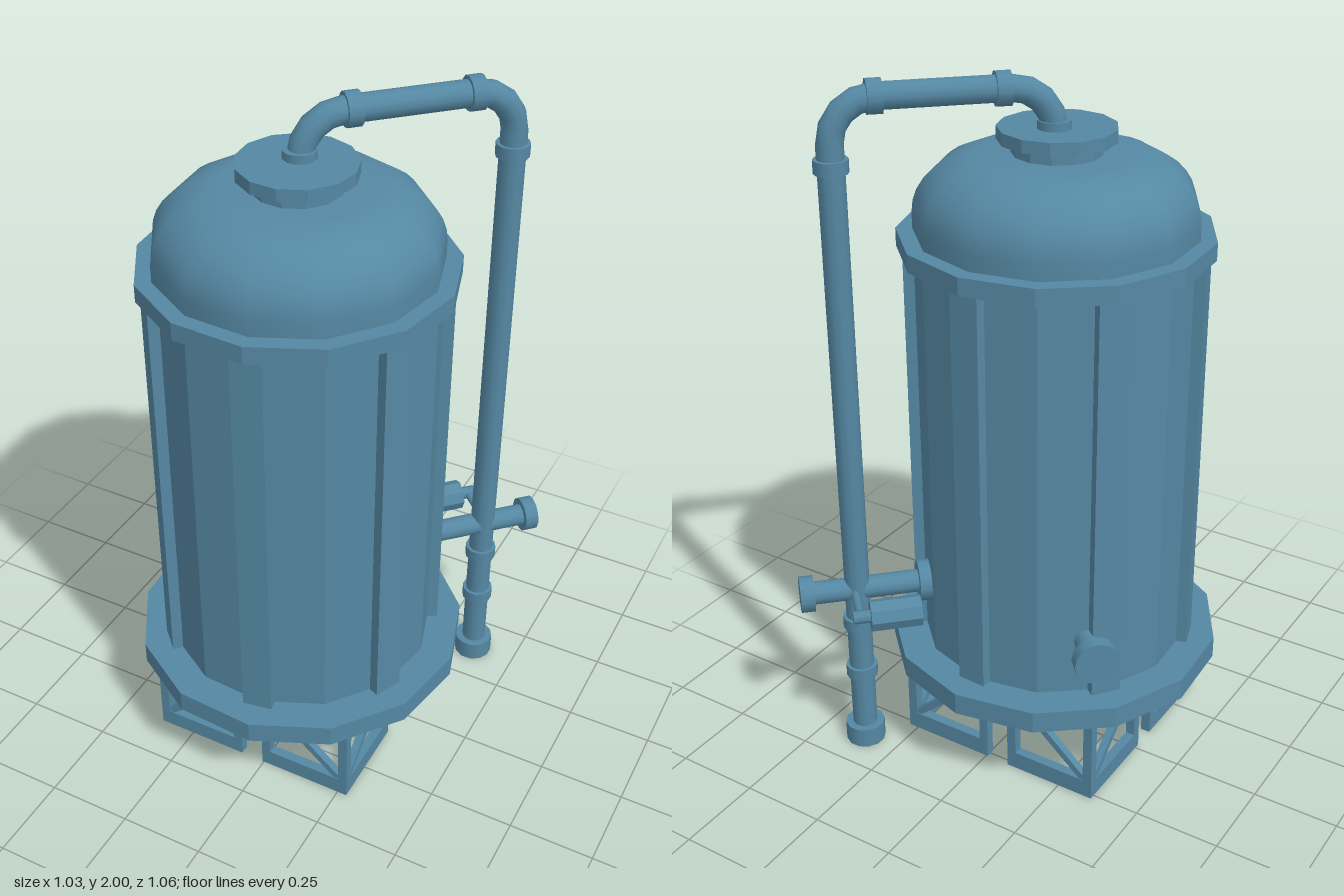
import * as THREE from 'three';

const SIDES = 13, START = -Math.PI / 4;
const smooth = new THREE.MeshStandardMaterial({ color: 0x5588a3 });
const flat = new THREE.MeshStandardMaterial({ color: 0x5588a3, flatShading: true });

function add(parent, name, geometry, material = smooth, x = 0, y = 0, z = 0) {
  const mesh = new THREE.Mesh(geometry, material);
  mesh.name = name;
  mesh.position.set(x, y, z);
  parent.add(mesh);
  return mesh;
}

// Thirteen-sided turned part from [radius, height] pairs
function turned(parent, name, profile, material = flat) {
  const pts = profile.map(([r, y]) => new THREE.Vector2(r, y));
  return add(parent, name, new THREE.LatheGeometry(pts, SIDES, START), material);
}

// Upright cylinder between two heights
function upright(parent, name, r, y0, y1, x = 0, sides = 12) {
  return add(parent, name, new THREE.CylinderGeometry(r, r, y1 - y0, sides), smooth, x, (y0 + y1) / 2, 0);
}

// Cylinder lying along local x
function lying(parent, name, r, x0, x1, y, z = 0, sides = 12, material = smooth) {
  const geo = new THREE.CylinderGeometry(r, r, x1 - x0, sides).rotateZ(-Math.PI / 2);
  return add(parent, name, geo, material, (x0 + x1) / 2, y, z);
}

function buildTank() {
  const tank = new THREE.Group();
  tank.name = 'tank';
  tank.position.set(-0.04, 0, 0.053);

  // Hollow shell, open underneath
  turned(tank, 'shell', [[0.31, 0.27], [0.39, 0.27], [0.39, 1.54], [0, 1.54], [0, 1.5], [0.31, 1.5], [0.31, 0.27]]);
  turned(tank, 'baseFlange', [[0.31, 0.27], [0.485, 0.27], [0.485, 0.335], [0.38, 0.335]]);
  turned(tank, 'topFlange', [[0.38, 1.515], [0.43, 1.515], [0.43, 1.565], [0.3, 1.565]]);

  // Rounded dome
  const dome = [[0.385, 1.56]];
  for (let i = 0; i <= 8; i++) {
    const t = (i / 8) * Math.PI / 2;
    dome.push([0.19 + 0.195 * Math.cos(t), 1.61 + 0.165 * Math.sin(t)]);
  }
  dome.push([0, 1.775]);
  turned(tank, 'dome', dome, smooth);

  // Neck and lid
  turned(tank, 'neck', [[0.122, 1.76], [0.122, 1.82]]);
  turned(tank, 'lid', [[0, 1.81], [0.16, 1.81], [0.16, 1.845], [0, 1.845]]);

  // Raised strips on every second corner
  for (let i = 0; i < SIDES; i += 2) {
    const a = START + (i * 2 * Math.PI) / SIDES;
    const strip = add(tank, 'strip', new THREE.BoxGeometry(0.085, 1.2, 0.05), flat,
      Math.sin(a) * 0.385, 0.925, Math.cos(a) * 0.385);
    strip.rotation.y = a;
  }

  // Drain outlet at the back
  const outlet = new THREE.Group();
  outlet.name = 'outlet';
  outlet.rotation.y = Math.PI * 0.75;
  lying(outlet, 'outletPipe', 0.037, 0.34, 0.46, 0.5);
  lying(outlet, 'outletFlange', 0.064, 0.455, 0.493, 0.5);
  tank.add(outlet);

  // Four corner legs, each with two braced frames
  for (let i = 0; i < 4; i++) {
    const leg = new THREE.Group();
    leg.name = 'leg';
    leg.rotation.y = (i * Math.PI) / 2;
    leg.add(legFrame(false), legFrame(true));
    tank.add(leg);
  }
  return tank;
}

// Rectangular frame with a diagonal; the mirrored one closes the corner
function legFrame(turn) {
  const frame = new THREE.Group();
  frame.name = 'legFrame';
  const inner = 0.035, outer = 0.319, t = 0.028, h = 0.272;
  const mid = (inner + outer) / 2, z = outer - t / 2;
  const bar = (name, w, hh, x, y) =>
    add(frame, name, new THREE.BoxGeometry(w, hh, t), flat, x, y, z);
  bar('bottomRail', outer - inner, 0.054, mid, 0.027);
  bar('topRail', outer - inner, 0.022, mid, h - 0.011);
  bar('innerPost', t, h, inner + t / 2, h / 2);
  bar('outerPost', t, h, outer - t / 2, h / 2);
  const dx = outer - inner - 2 * t, dy = h - 0.076;
  const brace = bar('brace', Math.hypot(dx, dy) + 0.01, 0.02, mid, 0.054 + dy / 2);
  brace.rotation.z = -Math.atan2(dy, dx);
  brace.scale.z = 0.8;
  // The second frame of the corner lies on the adjoining side
  if (turn) {
    frame.rotation.y = Math.PI / 2;
    for (const m of frame.children) {
      m.position.x *= -1;
      m.rotation.z *= -1;
    }
  }
  return frame;
}

function buildPiping() {
  const piping = new THREE.Group();
  piping.name = 'piping';
  piping.position.set(-0.045, 0, 0.03);
  piping.rotation.y = Math.PI / 4;
  const far = 0.576, top = 1.955, bend = 0.115, r = 0.036, ring = 0.046;

  // Overhead run with two elbows
  upright(piping, 'lidCollar', ring, 1.84, 1.868);
  const elbow = () => new THREE.TorusGeometry(bend, r, 12, 4, Math.PI / 2);
  add(piping, 'lidElbow', elbow(), smooth, bend, top - bend).rotation.z = Math.PI / 2;
  add(piping, 'downElbow', elbow(), smooth, far - bend, top - bend);
  lying(piping, 'overheadPipe', r, bend, far - bend, top);
  for (const x of [0.135, far - 0.115]) lying(piping, 'overheadCollar', ring, x - 0.02, x + 0.02, top);

  // Downpipe with collars and foot
  upright(piping, 'downpipe', r, 0, top - bend, far);
  for (const y of [1.785, 0.42, 0.25]) upright(piping, 'downpipeCollar', ring, y - 0.018, y + 0.018, far);
  upright(piping, 'foot', 0.058, 0, 0.06, far);

  // Cross pipe into the tank
  const y = 0.53;
  lying(piping, 'crossPipe', 0.033, 0.34, 0.72, y);
  lying(piping, 'wallFlange', 0.06, 0.355, 0.4, y);
  lying(piping, 'endFlange', 0.052, 0.7, 0.74, y);

  // Valve actuator beside the downpipe
  lying(piping, 'actuator', 0.045, 0.415, 0.558, y, -0.15, 8, flat);
  lying(piping, 'actuatorShaft', 0.019, 0.55, 0.606, y, -0.15, 8);
  const rod = new THREE.CylinderGeometry(0.012, 0.012, 0.15, 8).rotateX(Math.PI / 2);
  add(piping, 'actuatorRod', rod, smooth, 0.585, y, -0.075);
  return piping;
}

export function createModel() {
  const model = new THREE.Group();
  model.name = 'storageTank';
  model.add(buildTank(), buildPiping());
  return model;
}
